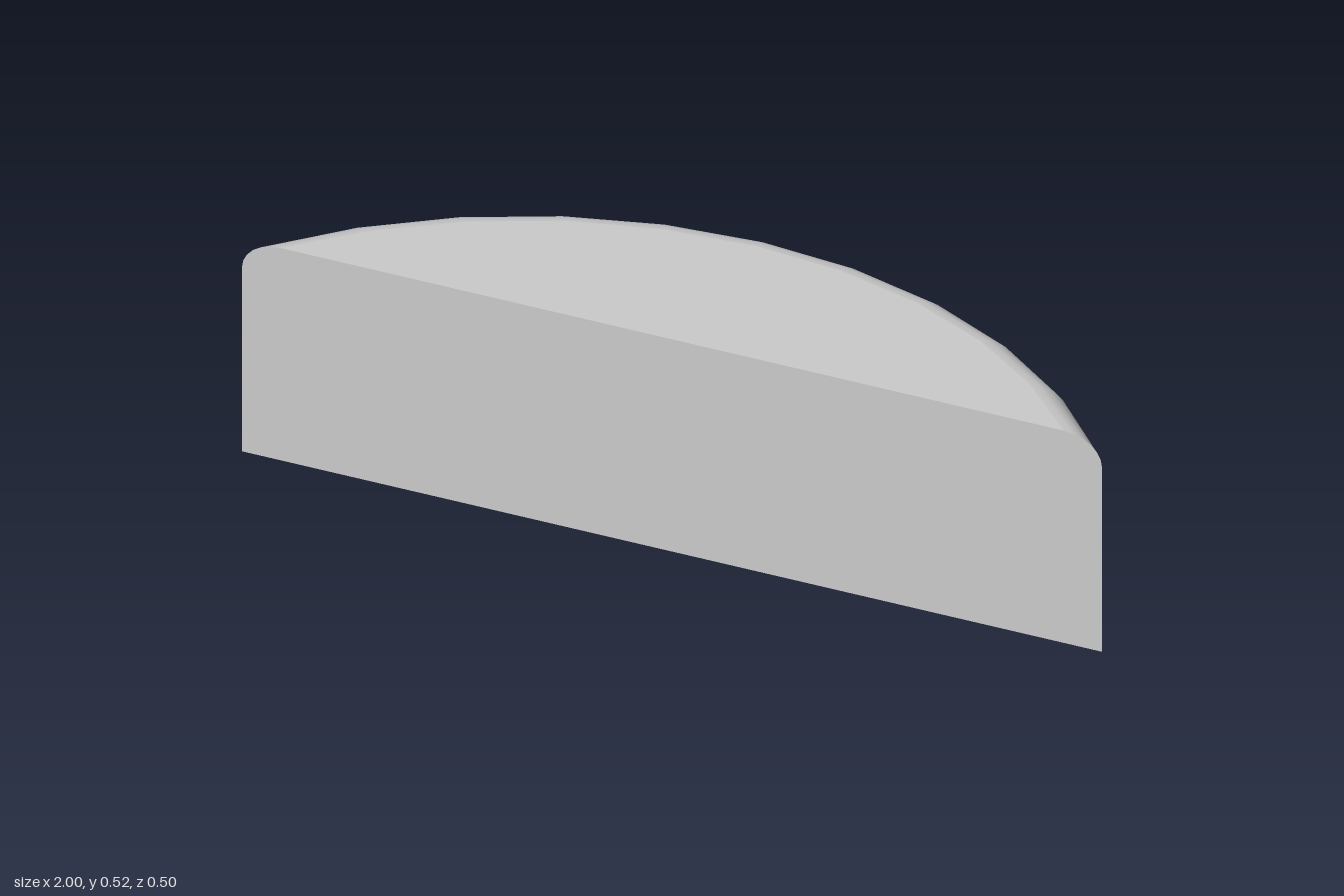
import * as THREE from 'three';

const FRONT = 0.2475;          // z of the flat front
const RADIUS = 1.2577;         // radius of the curved back
const CENTRE = 1.0102;         // z of the arc's centre
const HEIGHT = 0.522;
const FILLET = 0.07;           // rounding of the top back edge
const SEGMENTS = 10;

// Points of the back arc at an inset, from -x to +x, ending on the front plane
function arc(inset) {
  const r = RADIUS - inset;
  const half = Math.acos((CENTRE - FRONT) / r);
  return Array.from({ length: SEGMENTS + 1 }, (_, i) => {
    const a = half * (2 * i / SEGMENTS - 1);
    return [r * Math.sin(a), CENTRE - r * Math.cos(a)];
  });
}

export function createModel() {
  const group = new THREE.Group();
  const material = new THREE.MeshStandardMaterial({ color: 0xcccccc });
  const add = (name, geometry) => {
    const mesh = new THREE.Mesh(geometry, material);
    mesh.name = name;
    group.add(mesh);
  };
  const flat = (points) =>
    new THREE.ShapeGeometry(new THREE.Shape(points.map(([x, y]) => new THREE.Vector2(x, y))));

  // Profile of the back as [inset, y]: straight wall, then quarter-round
  const profile = [[0, 0]];
  const steps = 6;
  for (let k = 0; k <= steps; k++) {
    const t = k / steps * Math.PI / 2;
    profile.push([FILLET * (1 - Math.cos(t)), HEIGHT - FILLET + FILLET * Math.sin(t)]);
  }
  const rings = profile.map(([inset, y]) => arc(inset).map(([x, z]) => [x, y, z]));

  // Curved back wall with its rounded upper edge
  const index = [];
  const row = SEGMENTS + 1;
  for (let j = 0; j < rings.length - 1; j++) {
    for (let i = 0; i < SEGMENTS; i++) {
      const a = j * row + i, u = a + row;
      index.push(a, u, a + 1, a + 1, u, u + 1);
    }
  }
  const wall = new THREE.BufferGeometry();
  wall.setAttribute('position', new THREE.Float32BufferAttribute(rings.flat(2), 3));
  wall.setIndex(index);
  wall.computeVertexNormals();
  add('curvedBack', wall);

  // Flat top and underside
  add('top', flat(arc(FILLET).map(([x, z]) => [x, -z])).rotateX(-Math.PI / 2).translate(0, HEIGHT, 0));
  add('underside', flat(arc(0)).rotateX(Math.PI / 2));

  // Flat front, following the ends of the rounded edge
  const right = rings.map((ring) => ring[SEGMENTS]);
  const left = rings.map((ring) => ring[0]).reverse();
  add('flatFront', flat([...right, ...left]).translate(0, 0, FRONT));

  return group;
}
